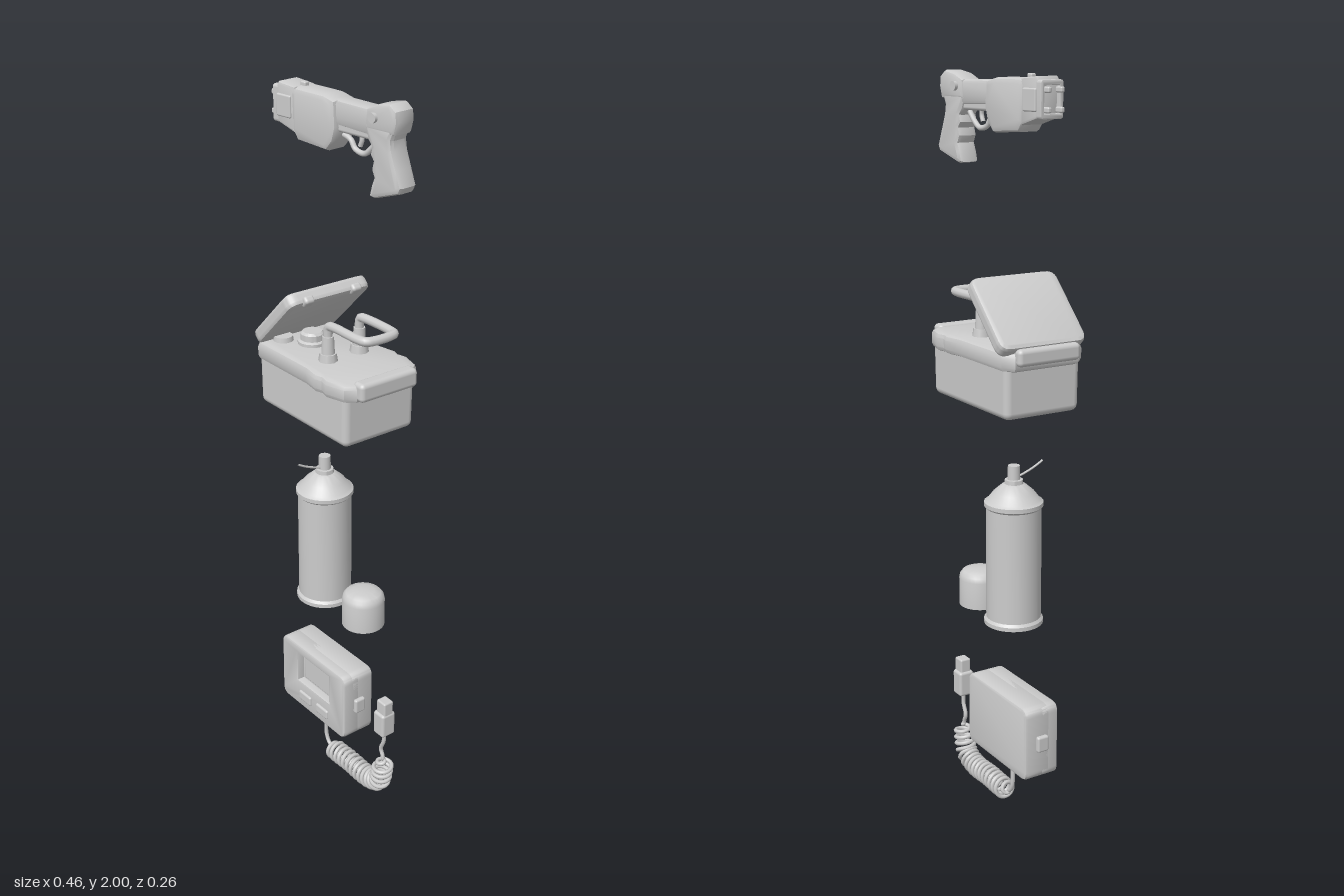
import * as THREE from 'three';
import { toCreasedNormals } from 'three/addons/utils/BufferGeometryUtils.js';
import { RoundedBoxGeometry } from 'three/addons/geometries/RoundedBoxGeometry.js';

const grey = new THREE.MeshStandardMaterial({ color: 0xcccccc });
grey.name = 'plain grey';

function add(parent, name, geometry, x = 0, y = 0, z = 0) {
  const mesh = new THREE.Mesh(geometry, grey);
  mesh.name = name;
  mesh.position.set(x, y, z);
  parent.add(mesh);
  return mesh;
}

function group(parent, name, x = 0, y = 0, z = 0) {
  const g = new THREE.Group();
  g.name = name;
  g.position.set(x, y, z);
  parent.add(g);
  return g;
}

const rbox = (w, h, d, r) => new RoundedBoxGeometry(w, h, d, 3, r);
const cyl = (r1, r2, h, n = 20) => new THREE.CylinderGeometry(r1, r2, h, n);
const poly = (pts) => new THREE.Shape(pts.map(([x, y]) => new THREE.Vector2(x, y)));
const lathe = (pts) => toCreasedNormals(
  new THREE.LatheGeometry(pts.map(([x, y]) => new THREE.Vector2(x, y)), 32), 0.6);

function tube(pts, radius, segments = 32) {
  const curve = new THREE.CatmullRomCurve3(pts.map((p) => new THREE.Vector3(...p)));
  return new THREE.TubeGeometry(curve, segments, radius, 10);
}

// Bevelled slab centred on z = 0; the bevel stays inside the outline
function slab(shape, depth, bevel) {
  const g = new THREE.ExtrudeGeometry(shape, {
    depth: depth - 2 * bevel, bevelThickness: bevel, bevelSize: bevel,
    bevelOffset: -bevel, bevelSegments: 2, curveSegments: 6,
  });
  g.translate(0, 0, bevel - depth / 2);
  return toCreasedNormals(g, 0.6);
}

function roundRect(w, h, r) {
  const s = new THREE.Shape(), x = w / 2, y = h / 2;
  s.moveTo(-x + r, -y);
  s.lineTo(x - r, -y).quadraticCurveTo(x, -y, x, -y + r);
  s.lineTo(x, y - r).quadraticCurveTo(x, y, x - r, y);
  s.lineTo(-x + r, y).quadraticCurveTo(-x, y, -x, y - r);
  s.lineTo(-x, -y + r).quadraticCurveTo(-x, -y, -x + r, -y);
  return s;
}

// Cord that winds into a coil along the middle of its path
class CoiledCord extends THREE.Curve {
  constructor() {
    super();
    this.arcLengthDivisions = 1500;
    this.path = new THREE.CatmullRomCurve3([
      [-0.07, 0.14], [-0.068, 0.06], [-0.05, 0.036], [0.05, 0.034], [0.14, 0.034],
      [0.182, 0.055], [0.195, 0.1], [0.197, 0.145], [0.188, 0.17], [0.2, 0.205], [0.2, 0.24],
    ].map(([x, y]) => new THREE.Vector3(x, y, 0)));
  }
  getPoint(t, target = new THREE.Vector3()) {
    const p = this.path.getPointAt(t), d = this.path.getTangentAt(t);
    const r = 0.026 * THREE.MathUtils.smoothstep(t, 0.2, 0.25) * (1 - THREE.MathUtils.smoothstep(t, 0.76, 0.81));
    const a = (t - 0.2) / 0.61 * 18 * Math.PI * 2;
    return target.set(p.x - d.y * r * Math.cos(a), p.y + d.x * r * Math.cos(a), r * Math.sin(a));
  }
}

function buildMonitor(root) {
  const g = group(root, 'handheldMonitor', 0, 0, -0.012);
  const body = group(g, 'monitorBody', -0.07, 0.26, -0.003);
  const front = roundRect(0.3, 0.21, 0.025);
  front.holes.push(poly([[-0.075, -0.02], [-0.075, 0.075], [0.075, 0.075], [0.075, -0.02]].reverse()));
  add(body, 'frontShell', slab(front, 0.055, 0.006), 0, 0, 0.0245);
  add(body, 'backShell', slab(roundRect(0.3, 0.21, 0.025), 0.08, 0.008), 0, 0, -0.011);
  add(body, 'screen', rbox(0.125, 0.08, 0.012, 0.004), 0, 0.03, 0.03);
  for (const x of [-0.036, 0.046]) add(body, 'frontButton', rbox(0.056, 0.03, 0.016, 0.006), x, -0.063, 0.05);
  for (const s of [-1, 1]) add(body, 'sideButton', rbox(0.022, 0.045, 0.035, 0.006), s * 0.15, 0, 0);
  add(g, 'cordSocket', cyl(0.015, 0.012, 0.03), -0.07, 0.145, 0);
  add(g, 'coiledCord', new THREE.TubeGeometry(new CoiledCord(), 900, 0.006, 7));
  add(g, 'plugGrip', rbox(0.044, 0.075, 0.046, 0.008), 0.2, 0.272, 0);
  add(g, 'plugTip', rbox(0.036, 0.045, 0.032, 0.005), 0.202, 0.325, 0);
}

function buildSprayCan(root) {
  const g = group(root, 'sprayCan', -0.073, 0, -0.012);
  add(g, 'canBody', lathe([[0, 0.57], [0.065, 0.57], [0.072, 0.56], [0.08, 0.562], [0.08, 0.573],
    [0.074, 0.58], [0.074, 0.888], [0.079, 0.893], [0.079, 0.904], [0.07, 0.91],
    [0.055, 0.93], [0.032, 0.95], [0.025, 0.953], [0.024, 0.964], [0, 0.966]]));
  add(g, 'nozzle', cyl(0.016, 0.017, 0.04), 0, 0.982, 0);
  add(g, 'nozzleStraw', tube([[0, 0.968, 0.01], [0, 0.978, 0.04], [0, 0.99, 0.068], [0, 1.002, 0.09]], 0.003, 10));
  const cap = group(root, 'loosenedCap', 0.101, 0, -0.012);
  add(cap, 'capShell', lathe([[0, 0.565], [0.052, 0.565], [0.055, 0.555], [0.059, 0.555], [0.059, 0.632],
    [0.056, 0.645], [0.048, 0.654], [0.03, 0.659], [0, 0.661]]));
}

function buildCase(root) {
  const g = group(root, 'carryCase', 0, 0, 0.003);
  // Slightly tapered tub
  const tub = rbox(0.37, 0.17, 0.224, 0.018), p = tub.attributes.position;
  for (let i = 0; i < p.count; i++) {
    const k = 1 + 0.08 * p.getY(i);
    p.setXYZ(i, p.getX(i) * k, p.getY(i), p.getZ(i) * k);
  }
  add(g, 'tub', tub, -0.004, 1.243, 0);
  // Wavy rim around the top
  const side = [[-0.205, 0.095], [-0.18, 0.12], [0.03, 0.121], [0.08, 0.13], [0.1, 0.124], [0.125, 0.13],
    [0.18, 0.115], [0.2, 0.09]];
  const rim = slab(poly([...side, ...side.map(([x, z]) => [x, -z]).reverse()].reverse()), 0.05, 0.013);
  rim.rotateX(-Math.PI / 2);
  add(g, 'rim', rim, 0, 1.309, 0);
  add(g, 'frontLip', rbox(0.04, 0.05, 0.18, 0.012), 0.199, 1.315, 0);
  add(g, 'hinge', rbox(0.03, 0.045, 0.185, 0.012), -0.206, 1.322, 0);
  // Raised lid
  const lid = group(g, 'openLid', -0.116, 1.413, -0.006);
  lid.rotation.z = 0.78;
  const panel = slab(roundRect(0.225, 0.258, 0.03), 0.038, 0.011);
  panel.rotateX(-Math.PI / 2);
  add(lid, 'lidPanel', panel);
  for (const s of [-1, 1]) add(lid, 'lidCatch', rbox(0.03, 0.022, 0.03, 0.008), 0.108, -0.014, s * 0.075);
  // Dial and port under the lid
  add(g, 'dial', lathe([[0, 1.325], [0.038, 1.325], [0.038, 1.342], [0.031, 1.346], [0.031, 1.362], [0.025, 1.368], [0, 1.368]]), -0.088, 0, 0.012);
  add(g, 'port', cyl(0.025, 0.028, 0.02), -0.15, 1.337, 0.06);
  // Raised looped handle
  for (const s of [-1, 1]) {
    const z = s * 0.05;
    add(g, 'handleFoot', cyl(0.022, 0.026, 0.024, 8), 0.03, 1.342, z);
    add(g, 'handlePost', cyl(0.015, 0.018, 0.06), 0.03, 1.37, z);
  }
  const bar = [[0.03, 1.38, 0.05], [0.03, 1.41, 0.05], [0.034, 1.426, 0.05], [0.055, 1.43, 0.05],
    [0.15, 1.43, 0.05], [0.175, 1.43, 0.044], [0.182, 1.43, 0.025]];
  add(g, 'handleBar', tube([...bar, ...bar.map(([x, y, z]) => [x, y, -z]).reverse()], 0.012, 90));
}

function buildSidearm(root) {
  const g = group(root, 'sidearm', 0, 0, -0.014);
  g.rotation.y = 0.11;
  add(g, 'slide', slab(poly([[-0.12, 1.925], [0.12, 1.915], [0.2, 1.935], [0.205, 1.965], [0.185, 1.99],
    [0.15, 1.985], [0.12, 1.978], [-0.12, 1.982]]), 0.056, 0.01));
  add(g, 'rearCover', slab(poly([[0.105, 1.93], [0.2, 1.93], [0.208, 1.96], [0.205, 1.985], [0.185, 2],
    [0.145, 1.993], [0.11, 1.978]]), 0.063, 0.009));
  // Curved grip with finger grooves
  add(g, 'grip', slab(poly([[0.1, 1.945], [0.113, 1.905], [0.125, 1.89], [0.12, 1.872], [0.13, 1.858], [0.125, 1.838],
    [0.133, 1.82], [0.125, 1.8], [0.118, 1.772], [0.135, 1.769], [0.215, 1.795], [0.222, 1.81], [0.207, 1.85],
    [0.192, 1.89], [0.188, 1.915], [0.2, 1.945]]), 0.06, 0.012));
  add(g, 'forebody', slab(poly([[-0.14, 1.885], [-0.122, 1.86], [-0.02, 1.854], [0.002, 1.88], [0.012, 1.915],
    [0.008, 1.978], [-0.03, 1.987], [-0.13, 1.988], [-0.145, 1.975]]), 0.076, 0.014));
  // Muzzle block with an open square mouth
  add(g, 'muzzle', slab(poly([[-0.195, 1.895], [-0.13, 1.876], [-0.13, 1.988], [-0.19, 1.993], [-0.198, 1.98]]), 0.07, 0.007));
  const mouth = roundRect(0.07, 0.092, 0.008);
  mouth.holes.push(poly([[-0.024, -0.033], [-0.024, 0.033], [0.024, 0.033], [0.024, -0.033]]));
  const frame = slab(mouth, 0.02, 0.003);
  frame.rotateY(Math.PI / 2);
  add(g, 'mouthFrame', frame, -0.199, 1.939, 0);
  for (const s of [-1, 1]) {
    add(g, 'sidePlate', rbox(0.05, 0.055, 0.012, 0.004), -0.167, 1.938, s * 0.034);
    add(g, 'mouthProng', rbox(0.024, 0.014, 0.012, 0.004), -0.213, 1.962, s * 0.02);
    add(g, 'mouthProng', rbox(0.024, 0.014, 0.012, 0.004), -0.213, 1.915, s * 0.02);
    const lever = add(g, 'safetyLever', cyl(0.012, 0.012, 0.01), 0.137, 1.962, s * 0.035);
    lever.rotation.x = Math.PI / 2;
  }
  add(g, 'frontSight', rbox(0.018, 0.014, 0.016, 0.004), -0.13, 1.991, 0);
  add(g, 'underRail', rbox(0.22, 0.03, 0.046, 0.008), 0.02, 1.918, 0);
  add(g, 'triggerGuard', tube([[0.0, 1.895, 0], [0.03, 1.885, 0], [0.045, 1.866, 0], [0.075, 1.86, 0],
    [0.098, 1.876, 0], [0.118, 1.9, 0]], 0.007));
  add(g, 'trigger', tube([[0.062, 1.915, 0], [0.068, 1.895, 0], [0.062, 1.876, 0]], 0.006, 10));
}

export function createModel() {
  const root = new THREE.Group();
  root.name = 'equipmentSet';
  buildMonitor(root);
  buildSprayCan(root);
  buildCase(root);
  buildSidearm(root);
  return root;
}
